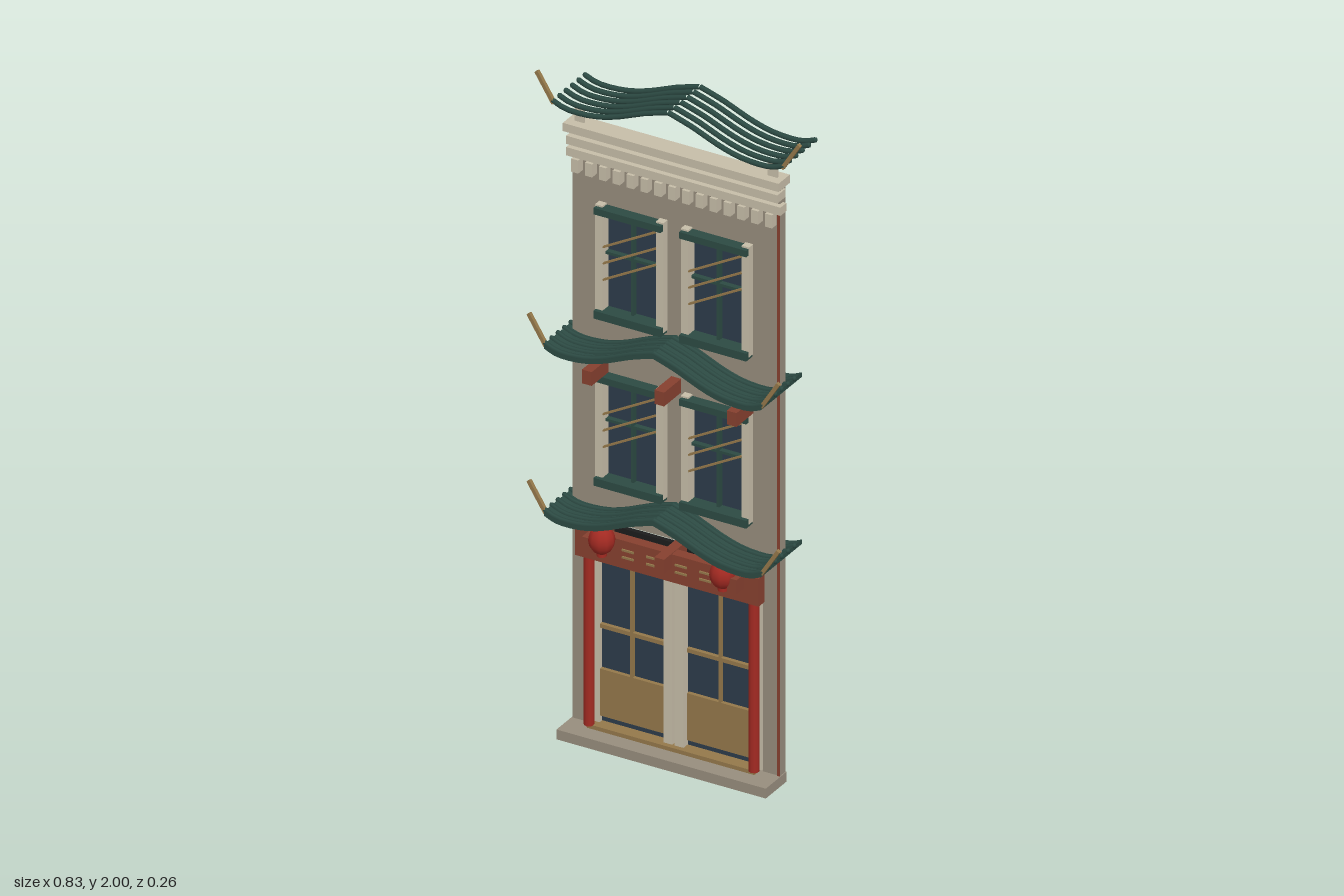
import * as THREE from 'three';

const mat = (name, color) => new THREE.MeshStandardMaterial({ name, color });

export function createModel() {
  const model = new THREE.Group();
  model.name = 'townhouseFacade';
  const wall = mat('wall stone', 0x978d7d), trim = mat('pale trim', 0xc6bda8);
  const green = mat('roof green', 0x2c4a43), glass = mat('window glass', 0x2c3b4a);
  const gold = mat('gold wood', 0x94784a), beam = mat('beam red', 0x86402f);
  const red = mat('lantern red', 0xa32a22), black = mat('backing black', 0x1c1c1c);
  for (const m of [wall, trim, green, glass, gold, beam, red, black]) m.flatShading = false;

  const add = (name, geometry, material, parent = model) => {
    const mesh = new THREE.Mesh(geometry, material);
    mesh.name = name;
    parent.add(mesh);
    return mesh;
  };
  // Box given by its lower and upper limits on each axis
  const box = (name, material, x0, x1, y0, y1, z0, z1, parent) => {
    const g = new THREE.BoxGeometry(Math.abs(x1 - x0), y1 - y0, z1 - z0);
    g.translate((x0 + x1) / 2, (y0 + y1) / 2, (z0 + z1) / 2);
    return add(name, g, material, parent);
  };
  // Square bar between two points
  const bar = (name, material, a, b, width, depth, parent) => {
    const d = new THREE.Vector3().subVectors(b, a);
    const m = add(name, new THREE.BoxGeometry(width, d.length(), depth), material, parent);
    m.position.addVectors(a, b).multiplyScalar(0.5);
    m.quaternion.setFromUnitVectors(new THREE.Vector3(0, 1, 0), d.normalize());
    return m;
  };
  const rect = (P, x0, x1, y0, y1) =>
    new P([[x0, y0], [x1, y0], [x1, y1], [x0, y1]].map(([x, y]) => new THREE.Vector2(x, y)));

  // Wall with a doorway notch and four window holes
  const outline = new THREE.Shape([
    [-0.322, 0.02], [-0.27, 0.02], [-0.27, 0.66], [0.27, 0.66], [0.27, 0.02], [0.322, 0.02],
    [0.322, 1.84], [-0.322, 1.84]].map(([x, y]) => new THREE.Vector2(x, y)));
  for (const y of [0.785, 1.295])
    for (const x of [-0.225, 0.04]) outline.holes.push(rect(THREE.Path, x, x + 0.185, y, y + 0.32));
  add('wall', new THREE.ExtrudeGeometry(outline, { depth: 0.03, bevelEnabled: false }), wall)
    .position.z = -0.03;
  box('cornerStrip', beam, 0.314, 0.322, 0.03, 1.75, 0, 0.003);
  box('baseStep', wall, -0.325, 0.325, 0, 0.03, -0.03, 0.08);
  box('threshold', gold, -0.26, 0.26, 0.03, 0.042, -0.02, 0.03);

  // Cornice mouldings, dentils and roof supports
  box('corniceTop', trim, -0.335, 0.335, 1.83, 1.855, -0.03, 0.03);
  box('corniceMiddle', trim, -0.328, 0.328, 1.79, 1.815, -0.02, 0.024);
  box('corniceLower', trim, -0.333, 0.333, 1.75, 1.775, -0.015, 0.016);
  for (let i = 0; i < 15; i++) {
    const x = -0.301 + i * 0.043;
    box('dentil', trim, x - 0.011, x + 0.011, 1.71, 1.75, 0, 0.025);
  }
  for (const s of [-1, 1])
    box('roofSupport', trim, s * 0.285, s * 0.315, 1.85, 1.905, -0.003, 0.003);

  // Windows
  function windowUnit(x, y) {
    const g = new THREE.Group();
    g.name = 'window';
    g.position.set(x, y, 0);
    model.add(g);
    box('pane', glass, -0.092, 0.092, 0, 0.32, -0.03, -0.01, g);
    box('backing', black, -0.094, 0.094, 0, 0.325, -0.045, -0.031, g);
    for (const s of [-1, 1]) box('jamb', trim, s * 0.083, s * 0.106, 0, 0.335, -0.01, 0.022, g);
    box('lintel', green, -0.104, 0.104, 0.31, 0.33, -0.01, 0.034, g);
    box('sill', green, -0.104, 0.104, -0.008, 0.016, -0.01, 0.034, g);
    box('mullion', green, -0.004, 0.004, 0.016, 0.31, -0.01, 0.006, g);
    box('crossBar', green, -0.083, 0.083, 0.182, 0.19, -0.01, 0.006, g);
    for (const h of [0.155, 0.205, 0.255])
      bar('latticeBar', gold, new THREE.Vector3(-0.083, h - 0.046, 0.018),
        new THREE.Vector3(0.083, h + 0.046, 0.018), 0.005, 0.008, g);
  }
  for (const y of [0.785, 1.295]) for (const s of [-1, 1]) windowUnit(s * 0.133, y);

  // Doors, posts and columns
  for (const s of [-1, 1]) {
    const x = (v) => s * v;
    box('doorGlass', glass, x(0.03), x(0.245), 0.042, 0.6, -0.03, -0.008);
    box('doorBacking', black, x(0.013), x(0.268), 0.035, 0.63, -0.045, -0.031);
    box('doorPanel', gold, x(0.035), x(0.24), 0.062, 0.205, -0.008, 0.004);
    box('doorMullion', gold, x(0.133), x(0.141), 0.205, 0.57, -0.008, 0.004);
    box('doorRail', gold, x(0.035), x(0.24), 0.33, 0.342, -0.008, 0.004);
    box('doorPost', trim, x(0.004), x(0.031), 0.035, 0.6, -0.03, 0.015);
    box('doorJamb', trim, x(0.235), x(0.268), 0.035, 0.6, -0.03, 0.006);
    add('column', new THREE.CylinderGeometry(0.015, 0.015, 0.53, 10), red)
      .position.set(x(0.256), 0.305, 0.025);
  }
  box('doorHead', gold, -0.268, 0.268, 0.6, 0.615, -0.02, 0.02);
  box('doorLintel', beam, -0.285, 0.285, 0.56, 0.645, 0.018, 0.05);
  for (const x of [-0.12, -0.045, 0.045, 0.12])
    for (const y of [0.595, 0.617])
      box('lintelInlay', gold, x - 0.018, x + 0.018, y - 0.003, y + 0.003, 0.05, 0.054);

  // Beam ends passing through the wall
  for (const y of [0.605, 1.115])
    for (const x of [-0.225, 0, 0.225])
      box('beamEnd', beam, x - 0.015, x + 0.015, y, y + 0.042, -0.06, 0.09);

  // Lanterns
  for (const s of [-1, 1]) {
    const ball = add('lantern', new THREE.SphereGeometry(0.037, 10, 8), red);
    ball.scale.y = 1.15;
    ball.position.set(s * 0.188, 0.645, 0.074);
    for (const t of [-1, 1])
      add('lanternCap', new THREE.CylinderGeometry(0.014, 0.014, 0.012, 10), red)
        .position.set(s * 0.188, 0.645 + t * 0.043, 0.074);
  }

  // Sweeping roofs: mirrored half profile, ribs, optional deck and front tips
  const half = [[0, 0.082], [0.07, 0.059], [0.14, 0.029], [0.2, 0.01], [0.26, 0.003],
    [0.305, 0.006], [0.337, 0.019]];
  function roof(name, y, stretch, zFront, deck) {
    const g = new THREE.Group();
    g.name = name;
    g.position.y = y;
    model.add(g);
    const side = new THREE.CatmullRomCurve3(
      half.map(([x, h]) => new THREE.Vector3(x * stretch, h, 0))).getPoints(12);
    for (let i = 0; i < 6; i++) {
      for (const s of [-1, 1]) {
        const path = new THREE.CatmullRomCurve3(side.map((p) => new THREE.Vector3(p.x * s, p.y, 0)));
        add('roofRib', new THREE.TubeGeometry(path, 14, 0.0075, 6), green, g)
          .position.z = zFront - i * 0.0335;
        const end = add('ribEnd', new THREE.SphereGeometry(0.0075, 6, 4), green, g);
        end.position.set(s * side[12].x, side[12].y, zFront - i * 0.0335);
      }
    }
    if (deck) {
      const line = [...side.slice(1).reverse().map((p) => new THREE.Vector2(-p.x, p.y)),
        ...side.map((p) => new THREE.Vector2(p.x, p.y))];
      const lower = line.map((p) => new THREE.Vector2(p.x, p.y - 0.014)).reverse();
      add('roofDeck', new THREE.ExtrudeGeometry(new THREE.Shape([...line, ...lower]),
        { depth: 0.215, bevelEnabled: false }), green, g).position.z = -0.09;
    }
    for (const s of [-1, 1])
      bar('roofTip', gold, new THREE.Vector3(s * 0.335 * stretch, 0.012, zFront),
        new THREE.Vector3(s * (0.335 * stretch + 0.053), 0.096, zFront), 0.011, 0.011, g);
  }
  roof('lowerRoof', 0.695, 1, 0.118, true);
  roof('middleRoof', 1.205, 1, 0.118, true);
  roof('topRoof', 1.903, 1.06, 0.042, false);

  return model;
}
